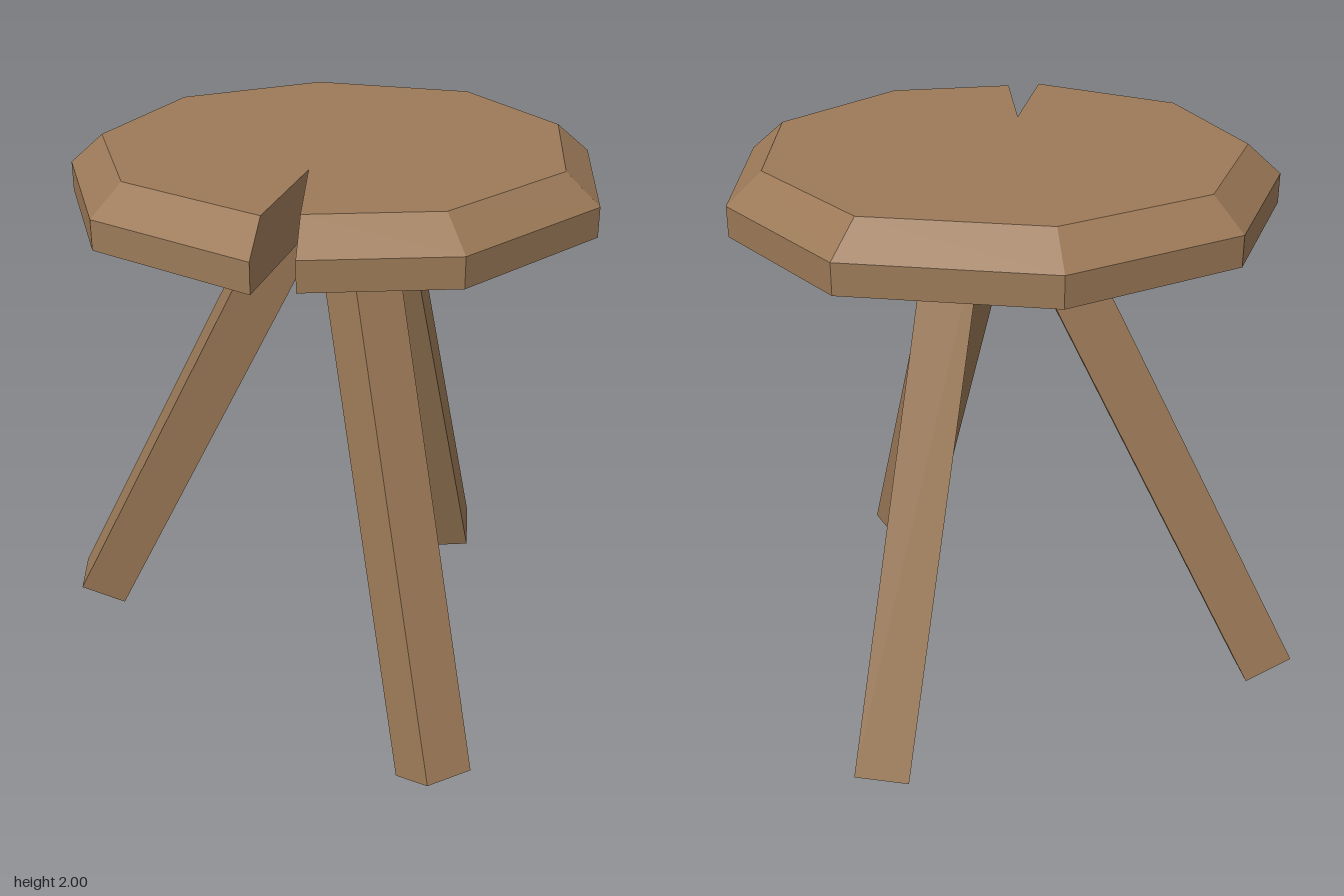
import * as THREE from 'three';

const wood = new THREE.MeshStandardMaterial({ color: 0x9c7a58, flatShading: true });

// Seat outline as [x, z], a rough decagon with a split cut into its rim
const OUTLINE = [
  [0.93, -0.08], [0.72, 0.51], [0.17, 0.82], [-0.31, 0.73], [-0.17, 0.26], [-0.44, 0.71],
  [-0.84, 0.23], [-0.84, -0.39], [-0.44, -0.87], [0.175, -0.98], [0.75, -0.66],
];
const SEAT_Z = -0.08;

// Seat: a straight rim below a chamfered top, closed by two flat caps
function buildSeat() {
  const rings = [[1.8, 1], [1.9, 1], [2, 0.873]].map(([y, s]) =>
    OUTLINE.map(([x, z]) => new THREE.Vector3(x * s, y, SEAT_Z + (z - SEAT_Z) * s)));
  const points = [];
  const n = OUTLINE.length;
  for (let r = 0; r < 2; r++) {
    for (let i = 0; i < n; i++) {
      const j = (i + 1) % n;
      const [a, b, c, d] = [rings[r][i], rings[r + 1][i], rings[r + 1][j], rings[r][j]];
      points.push(a, b, c, a, c, d);
    }
  }
  const cap = (ring, up) => {
    const flat = ring.map((p) => new THREE.Vector2(p.x, p.z));
    for (const [i, j, k] of THREE.ShapeUtils.triangulateShape(flat, [])) {
      const facesUp = THREE.ShapeUtils.area([flat[i], flat[j], flat[k]]) < 0;
      points.push(ring[i], ...(facesUp === up ? [ring[j], ring[k]] : [ring[k], ring[j]]));
    }
  };
  cap(rings[0], false);
  cap(rings[2], true);
  const geometry = new THREE.BufferGeometry().setFromPoints(points);
  geometry.computeVertexNormals();
  const seat = new THREE.Mesh(geometry, wood);
  seat.name = 'seat';
  return seat;
}

// Square leg: foot is the centre of its lower end, rise its lean per unit of height,
// side the direction of one edge of its section
function buildLeg({ name, foot, rise, side }) {
  const axis = new THREE.Vector3(...rise);
  const length = axis.length() * 1.82;
  axis.normalize();
  const across = new THREE.Vector3(...side);
  across.addScaledVector(axis, -across.dot(axis)).normalize();
  const depth = new THREE.Vector3().crossVectors(across, axis);

  const geometry = new THREE.BoxGeometry(0.183, length, 0.183).translate(0, length / 2, 0);
  const leg = new THREE.Mesh(geometry, wood);
  leg.quaternion.setFromRotationMatrix(new THREE.Matrix4().makeBasis(across, axis, depth));
  leg.position.set(...foot);
  leg.name = name;
  return leg;
}

const LEGS = [
  { name: 'frontLeg', foot: [0.115, 0.055, 0.865], rise: [-0.047, 1, -0.45], side: [0.17, -0.02, -0.057] },
  { name: 'backRightLeg', foot: [-0.832, 0.075, -0.573], rise: [0.445, 1, 0.232], side: [-0.16, 0.07, -0.03] },
  { name: 'backLeftLeg', foot: [0.665, 0.05, -0.655], rise: [-0.277, 1, 0.32], side: [0.165, 0.03, 0.07] },
];

export function createModel() {
  const stool = new THREE.Group();
  stool.name = 'stool';
  stool.add(buildSeat(), ...LEGS.map(buildLeg));
  return stool;
}
